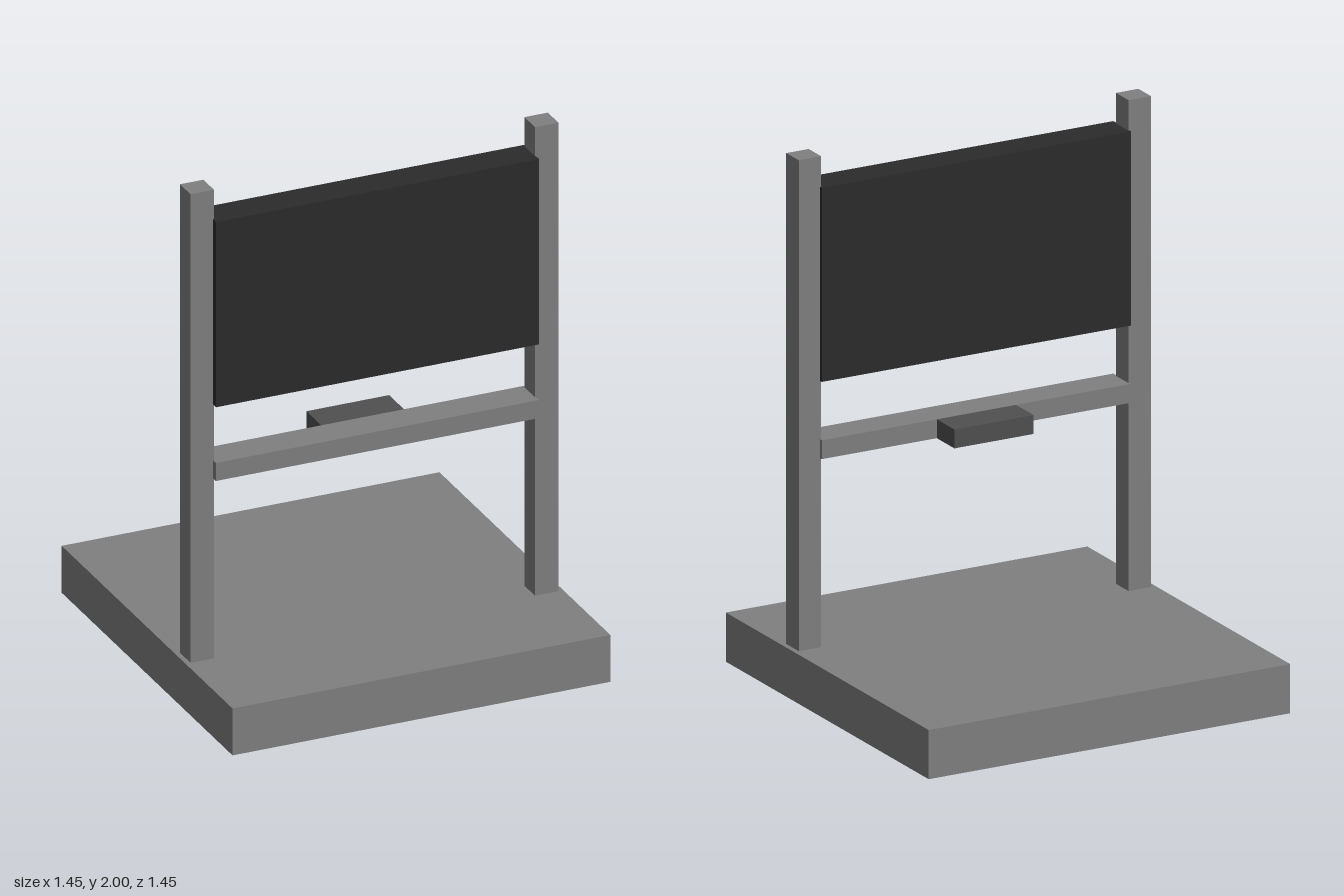
import * as THREE from 'three';

const material = (color) => new THREE.MeshStandardMaterial({ color });

export function createModel() {
  const group = new THREE.Group();
  const grey = material(0x808080);
  const dark = material(0x2b2b2b);
  const charcoal = material(0x505050);

  // Adds a box spanning the given [min, max] ranges
  const addBox = (name, mat, [x0, x1], [y0, y1], [z0, z1]) => {
    const mesh = new THREE.Mesh(new THREE.BoxGeometry(x1 - x0, y1 - y0, z1 - z0), mat);
    mesh.position.set((x0 + x1) / 2, (y0 + y1) / 2, (z0 + z1) / 2);
    mesh.name = name;
    group.add(mesh);
  };

  // Square floor slab
  addBox('base', grey, [-0.726, 0.726], [0, 0.182], [-0.726, 0.726]);

  // Pair of upright posts
  addBox('leftPost', grey, [0.617, 0.707], [0.182, 2], [0.237, 0.327]);
  addBox('rightPost', grey, [-0.707, -0.617], [0.182, 2], [0.237, 0.327]);

  // Dark board and the rail below it, held between the posts
  const depth = [0.226, 0.353];
  addBox('panel', dark, [-0.621, 0.621], [1.168, 1.887], depth);
  addBox('rail', grey, [-0.621, 0.621], [0.882, 0.952], depth);

  // Small shelf on the back of the rail
  addBox('shelf', charcoal, [-0.159, 0.159], [0.882, 0.952], [0.1, 0.226]);

  return group;
}
